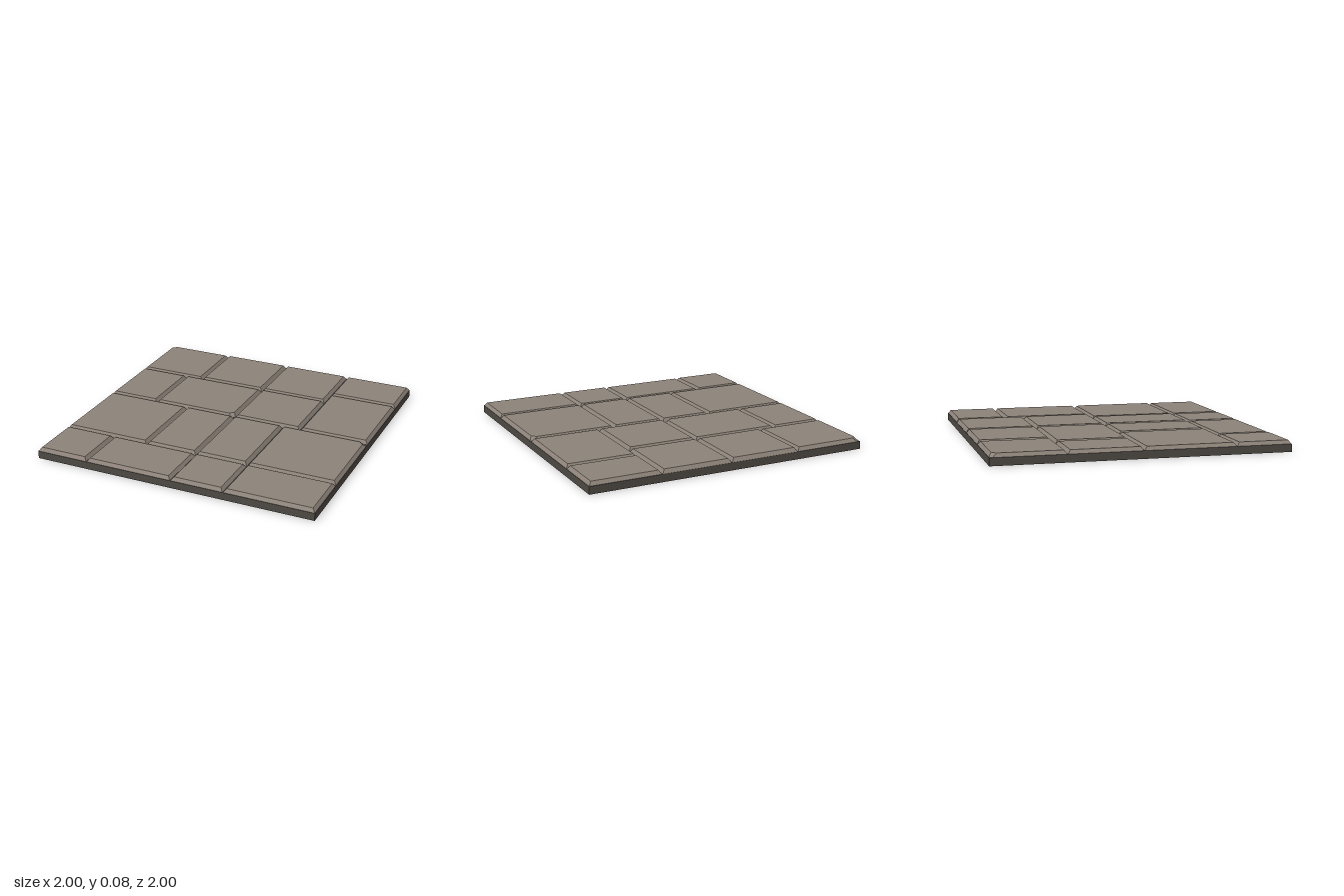
import * as THREE from 'three';

const BASE_TOP = 0.053;
const BEVEL = 0.02;

// Footprint of a slab, inset from its cell; a chipped corner is cut off at an angle.
function outline([x0, x1, z0, z1], inset, chip, cut) {
  const corners = [[x0 + inset, z0 + inset], [x0 + inset, z1 - inset], [x1 - inset, z1 - inset], [x1 - inset, z0 + inset]];
  const points = [];
  corners.forEach((p, i) => {
    if (i !== chip) { points.push(p); return; }
    for (const q of [corners[(i + 3) % 4], corners[(i + 1) % 4]]) {
      const d = Math.hypot(q[0] - p[0], q[1] - p[1]);
      points.push([p[0] + (q[0] - p[0]) * cut / d, p[1] + (q[1] - p[1]) * cut / d]);
    }
  });
  return points;
}

// Bevelled slab: loft from the low outline to the smaller top outline, then cap it.
function slabGeometry(cell, top, chip) {
  const low = outline(cell, 0.002, chip, 0.02).map(([x, z]) => [x, BASE_TOP, z]);
  const high = outline(cell, BEVEL, chip, 0.03).map(([x, z]) => [x, top, z]);
  const n = low.length;
  const pos = [];
  for (let i = 0; i < n; i++) {
    const j = (i + 1) % n;
    pos.push(...low[i], ...low[j], ...high[j], ...low[i], ...high[j], ...high[i]);
    if (i > 0 && i < n - 1) pos.push(...high[0], ...high[i], ...high[i + 1]);
  }
  const geometry = new THREE.BufferGeometry();
  geometry.setAttribute('position', new THREE.Float32BufferAttribute(pos, 3));
  geometry.computeVertexNormals();
  return geometry;
}

export function createModel() {
  const model = new THREE.Group();
  model.name = 'pavedFloorTile';

  const stone = new THREE.MeshStandardMaterial({ color: 0x8c8279 });
  stone.name = 'warm grey stone';
  const mortar = new THREE.MeshStandardMaterial({ color: 0x4d4842 });
  mortar.name = 'dark mortar';

  // Mortar bed under all slabs
  const bed = new THREE.Mesh(new THREE.BoxGeometry(2, BASE_TOP, 2), mortar);
  bed.name = 'mortarBed';
  bed.position.y = BASE_TOP / 2;
  model.add(bed);

  // Slab cells: x0, x1, z0, z1, top height, chipped corner
  // (0 back right, 1 front right, 2 front left, 3 back left)
  const slabs = [
    [-1, -0.5, -1, -0.505, 0.078, 0],
    [-0.5, 0, -1, -0.505, 0.08],
    [0, 0.5, -1, -0.505, 0.079],
    [0.5, 1, -1, -0.635, 0.078],
    [0.5, 1, -0.635, -0.005, 0.078],
    [-1, -0.625, -0.505, -0.005, 0.078],
    [-0.625, 0, -0.505, -0.005, 0.079, 2],
    [0, 0.5, -0.505, -0.005, 0.08],
    [-1, -0.375, -0.005, 0.62, 0.078],
    [-0.375, 0, -0.005, 0.62, 0.079],
    [0, 0.375, -0.005, 0.62, 0.08],
    [0.375, 1, -0.005, 0.62, 0.078, 3],
    [-1, -0.625, 0.62, 1, 0.078],
    [-0.625, 0, 0.62, 1, 0.076],
    [0, 0.375, 0.62, 1, 0.077],
    [0.375, 1, 0.62, 1, 0.077],
  ];
  slabs.forEach(([x0, x1, z0, z1, top, chip], i) => {
    const slab = new THREE.Mesh(slabGeometry([x0, x1, z0, z1], top, chip), stone);
    slab.name = `pavingSlab${i + 1}`;
    model.add(slab);
  });

  return model;
}
